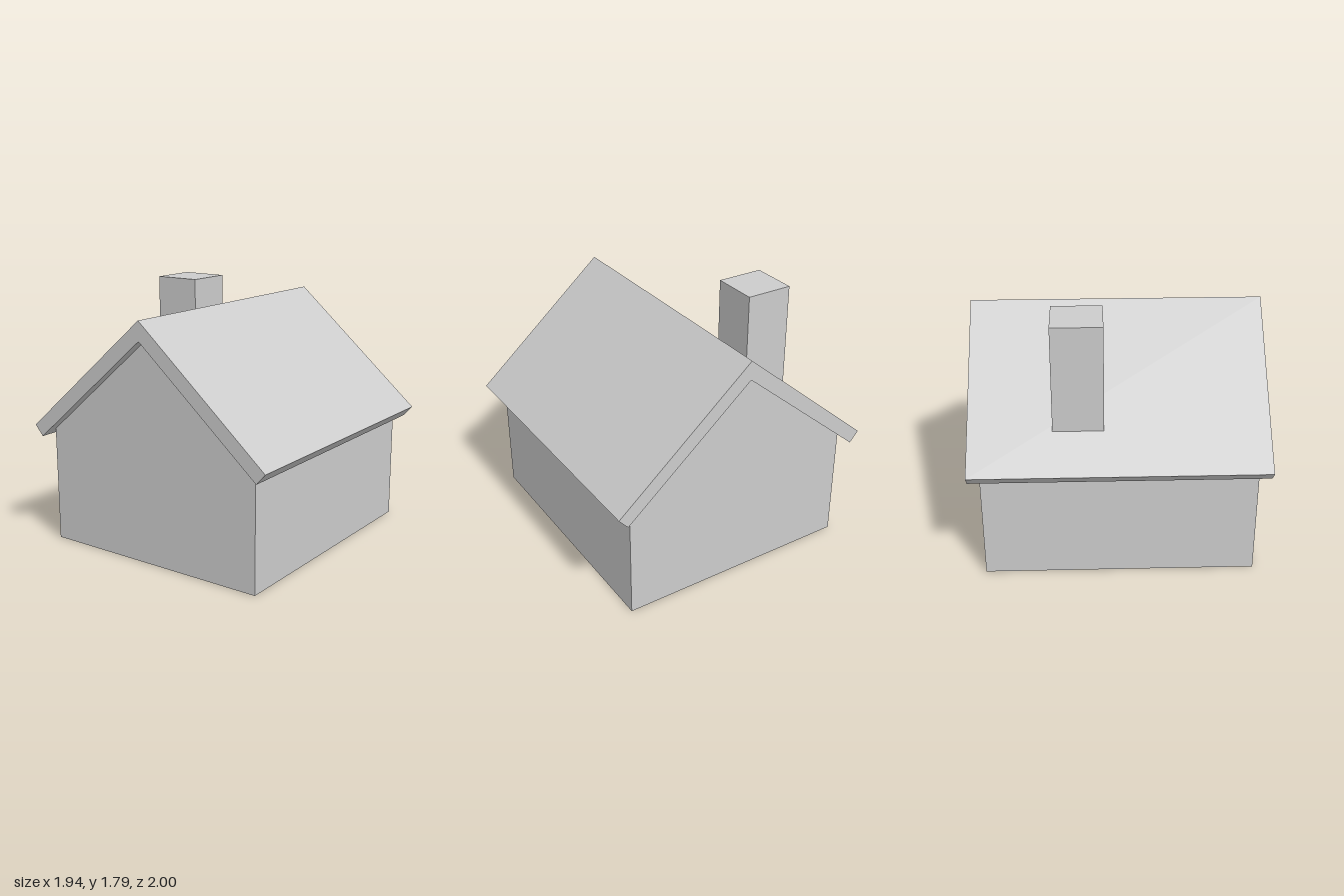
import * as THREE from 'three';

const solid = new THREE.MeshStandardMaterial({ color: 0xcccccc, flatShading: true });
const thin = new THREE.MeshStandardMaterial({ color: 0xcccccc, flatShading: true, side: THREE.DoubleSide });

const outline = (points) => new THREE.Shape(points.map(([x, y]) => new THREE.Vector2(x, y)));

function add(parent, name, geometry, material, x = 0, y = 0, z = 0) {
  const mesh = new THREE.Mesh(geometry, material);
  mesh.name = name;
  mesh.position.set(x, y, z);
  parent.add(mesh);
  return mesh;
}

// Prism with its outline in x/y, running from z0 to z1
function addPrism(parent, name, points, z0, z1) {
  const geometry = new THREE.ExtrudeGeometry(outline(points), { depth: z1 - z0, bevelEnabled: false });
  return add(parent, name, geometry, solid, 0, 0, z0);
}

export function createModel() {
  const house = new THREE.Group();
  house.name = 'house';

  const halfWidth = 0.85, halfDepth = 0.925;
  const innerRidge = 1.54, slope = 0.853;
  const underside = (x) => innerRidge - slope * Math.abs(x);
  const eave = underside(halfWidth);

  // Thin walls, open at the floor
  const walls = new THREE.Group();
  walls.name = 'walls';
  house.add(walls);
  const gable = new THREE.ShapeGeometry(outline([
    [-halfWidth, 0], [halfWidth, 0], [halfWidth, eave], [0, innerRidge], [-halfWidth, eave],
  ]));
  const side = new THREE.PlaneGeometry(2 * halfDepth, eave);
  for (const s of [1, -1]) {
    const end = add(walls, s > 0 ? 'frontGable' : 'backGable', gable, thin, 0, 0, s * halfDepth);
    if (s < 0) end.rotation.y = Math.PI;
    const wall = add(walls, s > 0 ? 'leftWall' : 'rightWall', side, thin, s * halfWidth, eave / 2, 0);
    wall.rotation.y = s * Math.PI / 2;
  }

  // Pitched roof slab with square-cut eaves
  addPrism(house, 'roof', [
    [0, 1.675], [-0.97, 0.842], [-0.905, underside(0.905)],
    [0, innerRidge], [0.905, underside(0.905)], [0.97, 0.842],
  ], -1, 1);

  // Chimney, its foot set into the roof slab
  const x0 = -0.73, x1 = -0.39, sink = 0.04;
  addPrism(house, 'chimney', [
    [x0, underside(x0) + sink], [x1, underside(x1) + sink], [x1, 1.793], [x0, 1.793],
  ], -0.44, -0.1);

  return house;
}
